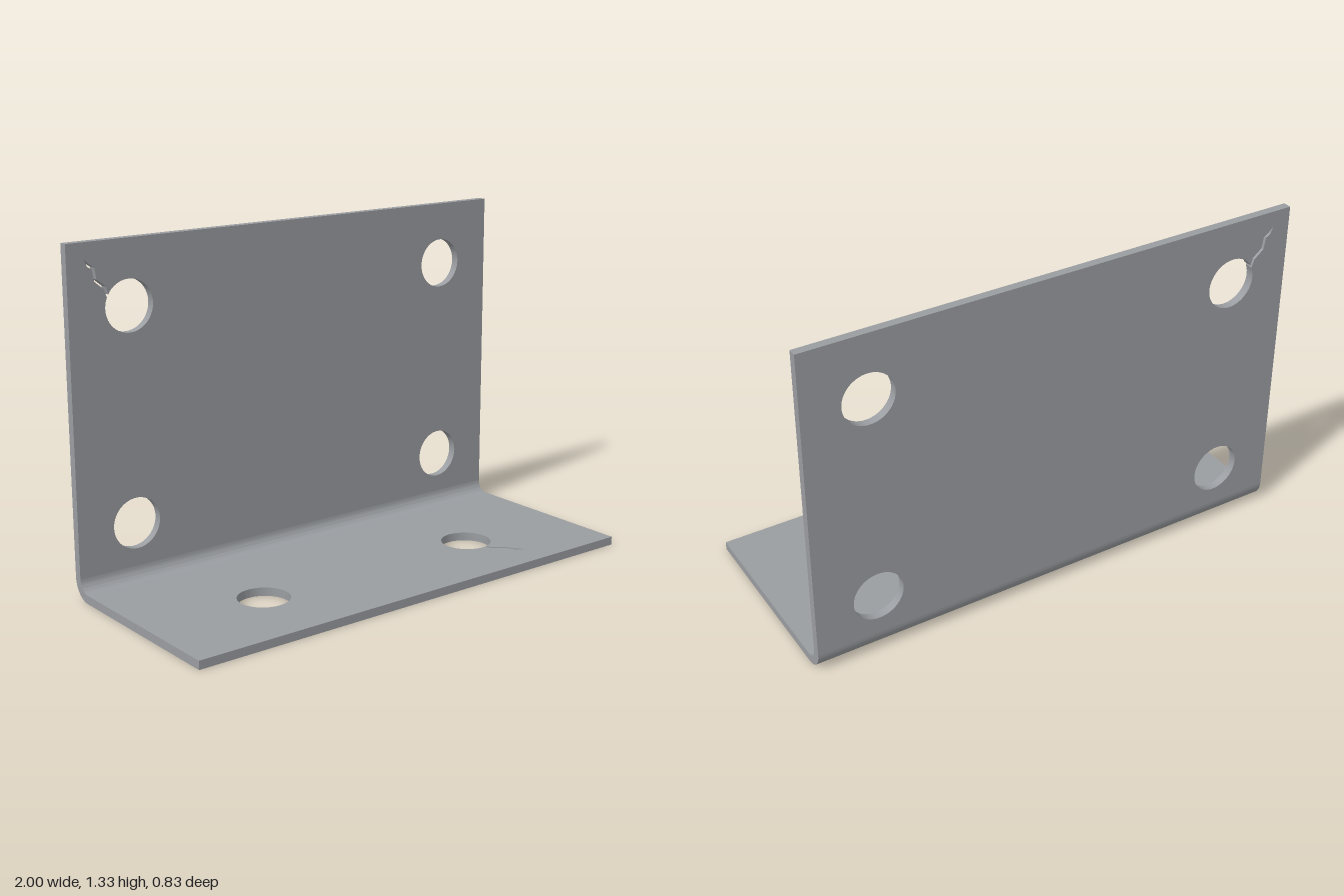
import * as THREE from 'three';
import { toCreasedNormals } from 'three/addons/utils/BufferGeometryUtils.js';

const T = 1 / 30;        // sheet thickness
const H = 1.333;         // wall height
const D = 0.417;         // half depth
const R = 0.083;         // outer bend radius
const HOLE = 0.1;        // bolt hole radius

// Round hole, optionally with a thin crack running out of its rim
function holePath(cx, cy, crack) {
  const pts = [];
  const n = 64;
  const a = crack ? Math.atan2(crack[0][1] - cy, crack[0][0] - cx) : 0;
  const gap = crack ? 0.06 : 0;
  const count = crack ? n : n - 1;
  for (let i = 0; i <= count; i++) {
    const t = a + gap + (i / n) * (Math.PI * 2 - 2 * gap);
    pts.push(new THREE.Vector2(cx + HOLE * Math.cos(t), cy + HOLE * Math.sin(t)));
  }
  if (crack) {
    const last = crack.length - 1;
    const edge = (i, side) => {
      const dx = crack[i + 1][0] - crack[i - 1][0], dy = crack[i + 1][1] - crack[i - 1][1];
      const w = side * 0.006 / Math.hypot(dx, dy);
      return new THREE.Vector2(crack[i][0] - dy * w, crack[i][1] + dx * w);
    };
    for (let i = 1; i < last; i++) pts.push(edge(i, -1));
    pts.push(new THREE.Vector2(...crack[last]));
    for (let i = last - 1; i > 0; i--) pts.push(edge(i, 1));
  }
  return new THREE.Path(pts);
}

// Flat rectangular sheet across x, from v0 to v1, with holes
function sheet(v0, v1, holes) {
  const s = new THREE.Shape();
  s.moveTo(-1, v0).lineTo(1, v0).lineTo(1, v1).lineTo(-1, v1).closePath();
  s.holes = holes;
  return new THREE.ExtrudeGeometry(s, { depth: T, bevelEnabled: false });
}

// Drop the faces lying inside the joint planes, then smooth only gentle angles
function finish(geo, seams) {
  const g = geo.index ? geo.toNonIndexed() : geo;
  const p = g.attributes.position.array;
  const out = [];
  for (let i = 0; i < p.length; i += 9) {
    const buried = seams.some(([axis, v]) =>
      [0, 3, 6].every(k => Math.abs(p[i + k + axis] - v) < 1e-4));
    if (!buried) for (let k = 0; k < 9; k++) out.push(p[i + k]);
  }
  const res = new THREE.BufferGeometry();
  res.setAttribute('position', new THREE.Float32BufferAttribute(out, 3));
  return toCreasedNormals(res, 0.45);
}

export function createModel() {
  const group = new THREE.Group();
  group.name = 'angleBracket';
  const steel = new THREE.MeshStandardMaterial({ color: 0x9a9da1 });
  steel.name = 'steel grey';
  const wallSeam = [1, R], baseSeam = [2, R - D];
  const add = (name, geo, seams) => {
    const m = new THREE.Mesh(finish(geo, seams), steel);
    m.name = name;
    group.add(m);
  };

  // Upright wall with four holes, the upper right one cracked
  const wallCrack = [[-0.84, 1.13], [-0.848, 1.16], [-0.885, 1.19], [-0.893, 1.235], [-0.912, 1.247], [-0.928, 1.27]];
  const wall = sheet(R, H, [
    holePath(-0.75, 0.25), holePath(0.75, 0.25),
    holePath(0.75, 1.083), holePath(-0.75, 1.083, wallCrack),
  ]);
  wall.translate(0, 0, -D);
  add('wallPlate', wall, [wallSeam]);

  // Foot plate with two holes, the left one cracked
  const footCrack = [[0.513, 0.182], [0.53, 0.21], [0.575, 0.248], [0.588, 0.275], [0.605, 0.288], [0.615, 0.312]];
  const foot = sheet(R - D, D, [holePath(-0.5, 0.083), holePath(0.5, 0.083, footCrack)]);
  foot.rotateX(Math.PI / 2).translate(0, T, 0);
  add('footPlate', foot, [baseSeam]);

  // Rounded bend joining the two plates
  const arc = new THREE.Shape();
  arc.absarc(0, 0, R, Math.PI, Math.PI * 1.5, false);
  arc.absarc(0, 0, R - T, Math.PI * 1.5, Math.PI, true);
  arc.closePath();
  const bend = new THREE.ExtrudeGeometry(arc, { depth: 2, bevelEnabled: false, curveSegments: 16 });
  bend.translate(0, 0, -1).rotateY(-Math.PI / 2).translate(0, R, R - D);
  add('bend', bend, [wallSeam, baseSeam]);

  return group;
}
